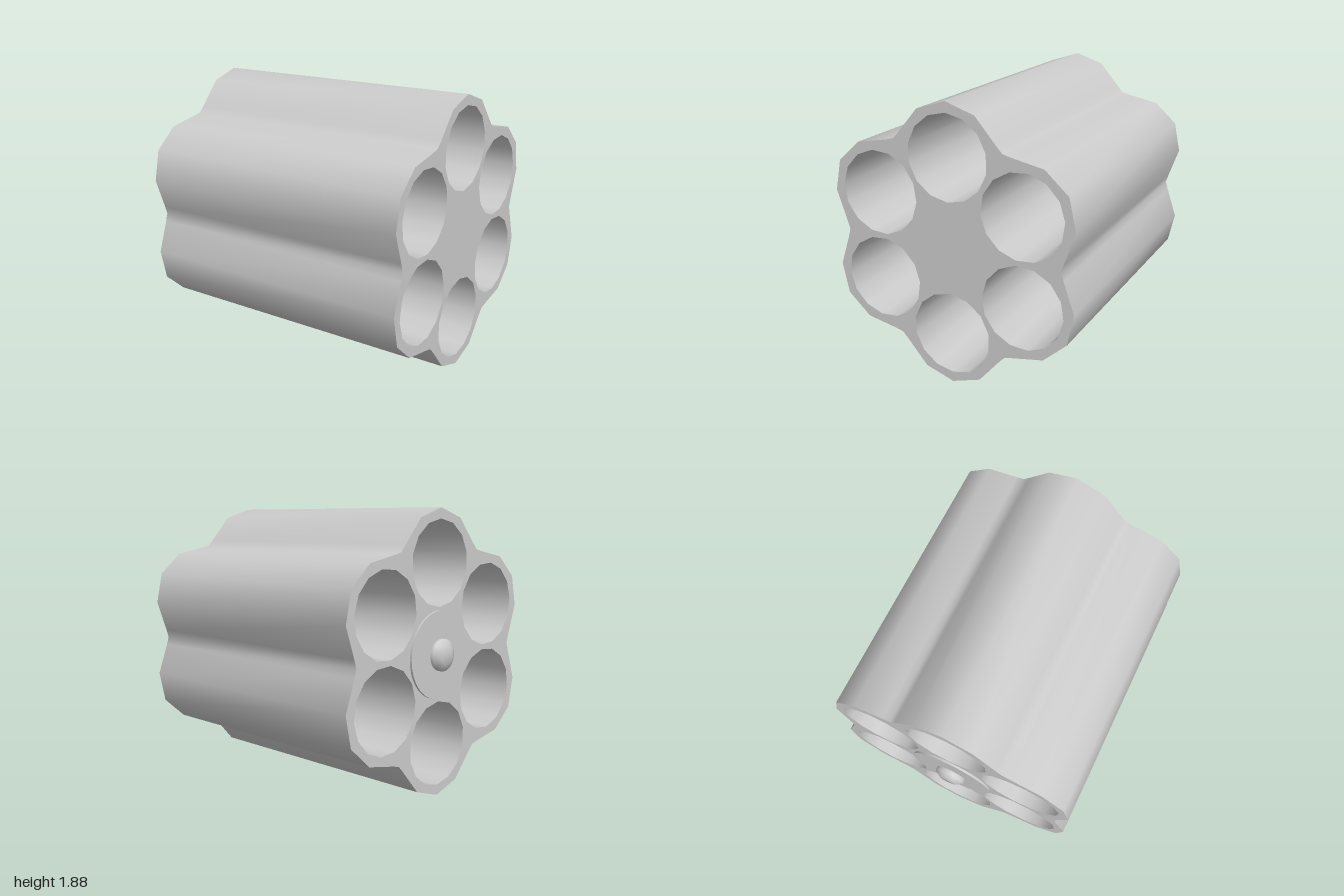
import * as THREE from 'three';
import { toCreasedNormals } from 'three/addons/utils/BufferGeometryUtils.js';

const CENTER_Y = 0.9375;
const BACK = -0.93, FRONT = 1;
const CHAMBERS = 6;
const CREASE = Math.PI / 3;

// point at radius r, angle a (degrees) counter-clockwise from straight up
const polar = (r, a) => {
  const t = THREE.MathUtils.degToRad(a + 90);
  return new THREE.Vector2(r * Math.cos(t), r * Math.sin(t));
};

function mesh(name, geometry) {
  const m = new THREE.Mesh(
    toCreasedNormals(geometry, CREASE),
    new THREE.MeshStandardMaterial({ color: 0xcccccc })
  );
  m.name = name;
  m.position.y = CENTER_Y;
  return m;
}

// fluted body: one lobe and one valley per chamber, pierced by the bores
function flutedBody() {
  const lobe = [[0.9375, 0], [0.895, 13], [0.786, 26], [0.768, 30], [0.786, 34], [0.895, 47]];
  const outline = [];
  for (let i = 0; i < CHAMBERS; i++) {
    for (const [r, a] of lobe) outline.push(polar(r, a + i * 60));
  }
  const shape = new THREE.Shape(outline);

  const sides = 14;
  for (let i = 0; i < CHAMBERS; i++) {
    const middle = polar(0.5875, i * 60);
    const bore = [];
    for (let k = 0; k < sides; k++) {
      bore.push(polar(0.28, i * 60 - k * 360 / sides).add(middle));
    }
    shape.holes.push(new THREE.Path(bore));
  }

  const geometry = new THREE.ExtrudeGeometry(shape, { depth: FRONT - BACK, bevelEnabled: false });
  geometry.rotateY(Math.PI / 2).translate(BACK, 0, 0);
  return mesh('flutedBody', geometry);
}

// turned part on the body axis; profile is [radius, distance towards -x]
function turned(name, profile) {
  const points = profile.map(([r, h]) => new THREE.Vector2(r, h));
  return mesh(name, new THREE.LatheGeometry(points, 32).rotateZ(Math.PI / 2));
}

export function createModel() {
  const group = new THREE.Group();
  group.name = 'chamberedCylinder';
  group.add(
    flutedBody(),
    turned('rearDisc', [[0.29, 0.93], [0.29, 0.945], [0, 0.945]]),
    turned('rearPin', [[0.105, 0.945], [0.105, 0.97], [0.058, 1], [0, 1]])
  );
  return group;
}
